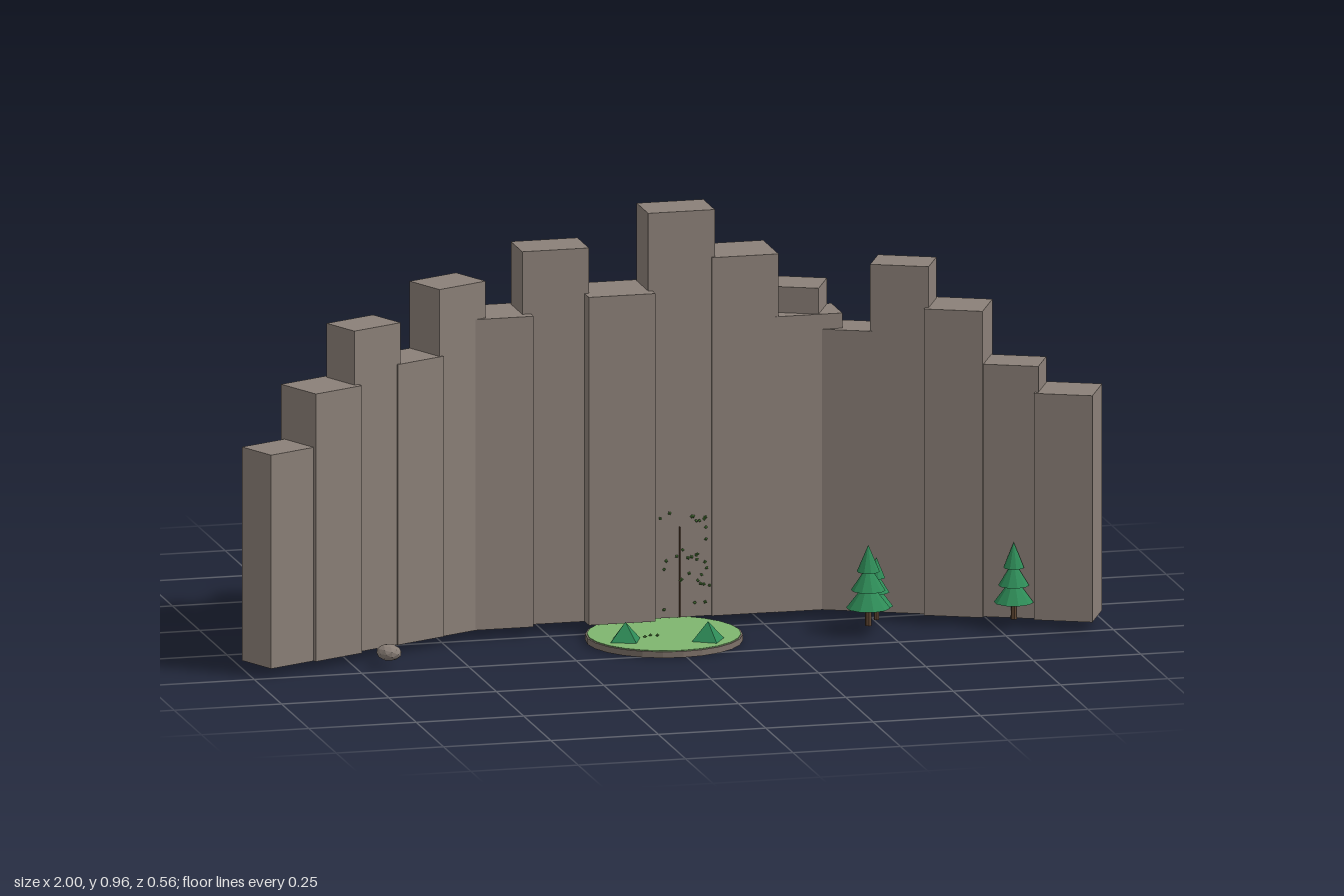
import * as THREE from 'three';

const mat = (name, color, extra = {}) => {
  const m = new THREE.MeshStandardMaterial({ color, flatShading: true, ...extra });
  m.name = name;
  return m;
};

export function createModel() {
  const model = new THREE.Group();
  model.name = 'cliffScene';
  const stone = mat('stone', 0x8b8078);
  const rim = mat('earthRim', 0x7d7169);
  const grass = mat('grass', 0x7fb56f);
  const foliage = mat('foliage', 0x2e8b57);
  const bark = mat('bark', 0x5f4632);
  const leafMat = mat('leaf', 0x4c7a38, { side: THREE.DoubleSide });
  const GROUND = 0.02;

  const add = (parent, name, geometry, material, x, y, z) => {
    const mesh = new THREE.Mesh(geometry, material);
    mesh.name = name;
    mesh.position.set(x, y, z);
    parent.add(mesh);
    return mesh;
  };

  // Stone columns
  const column = (name, x, z, w, d, top, turn = 0) => {
    const h = top - GROUND;
    add(model, name, new THREE.BoxGeometry(w, h, d), stone, x, GROUND + h / 2, z).rotation.y = turn;
  };

  // Centre row: x, z, depth, top
  [
    [-0.52, -0.085, 0.08, 0.6], [-0.36, -0.085, 0.14, 0.74], [-0.225, -0.092, 0.105, 0.885],
    [-0.08, -0.072, 0.145, 0.78], [0.065, -0.08, 0.105, 0.96], [0.212, -0.092, 0.14, 0.85],
    [0.36, -0.07, 0.1, 0.705], [0.5, -0.092, 0.125, 0.635],
  ].forEach(([x, z, d, top]) => column('centreColumn', x, z, 0.155, d, top));

  // Swept wings: [top, depth] from the middle outward
  const wing = (name, side, x0, step, z0, columns) => columns.forEach(([top, d], i) =>
    column(name, side * (x0 + step * i), z0 + 0.053 * i, 0.134, d, top, -side * 0.43));
  wing('rightWingColumn', -1, 0.14, 0.1113, -0.207, [
    [0.545, 0.11], [0.59, 0.11], [0.7, 0.11], [0.825, 0.107],
    [0.67, 0.11], [0.765, 0.1], [0.64, 0.125], [0.515, 0.105],
  ]);
  wing('leftWingColumn', 1, 0.115, 0.1143, -0.203, [
    [0.515, 0.1], [0.635, 0.11], [0.765, 0.105], [0.67, 0.1],
    [0.825, 0.098], [0.73, 0.124], [0.605, 0.1], [0.545, 0.122],
  ]);

  // Round clearing
  add(model, 'clearingBase', new THREE.CylinderGeometry(0.178, 0.178, 0.014, 24), rim, -0.008, 0.007, 0.1);
  add(model, 'clearingGrass', new THREE.CylinderGeometry(0.174, 0.174, 0.002, 24), grass, -0.008, 0.015, 0.1);

  // Four-sided bushes on the grass
  [[-0.11, 0.147, 0.4], [0.072, 0.187, 0.25]].forEach(([x, z, turn]) => {
    add(model, 'bush', new THREE.ConeGeometry(0.042, 0.043, 4), foliage, x, 0.037, z).rotation.y = turn;
  });

  // Fir trees: trunk and three stacked cones
  const tree = (x, z, height, radius) => {
    const fir = new THREE.Group();
    fir.name = 'firTree';
    fir.position.set(x, GROUND, z);
    add(fir, 'trunk', new THREE.CylinderGeometry(radius * 0.13, radius * 0.16, height * 0.3, 6), bark, 0, height * 0.15, 0);
    [[0.22, 0.34, 1], [0.44, 0.32, 0.78], [0.67, 0.33, 0.52]].forEach(([base, h, r]) =>
      add(fir, 'foliageTier', new THREE.ConeGeometry(radius * r, height * h, 10), foliage, 0, height * (base + h / 2), 0));
    model.add(fir);
  };
  tree(0.453, 0.157, 0.187, 0.05);
  tree(0.485, 0.105, 0.145, 0.038);
  tree(0.787, 0.175, 0.178, 0.045);
  tree(0.337, -0.22, 0.14, 0.038);

  // Loose rocks
  [[-0.675, 0.205, 0.027, 0.034], [-0.18, -0.255, 0.018, 0.03]].forEach(([x, z, r, y]) => {
    const rock = add(model, 'rock', new THREE.IcosahedronGeometry(r, 1), stone, x, y, z);
    rock.scale.set(1, 0.7, 1.15);
    rock.rotation.y = 0.5;
  });

  // Climbing vine with small leaves on the cliff face
  add(model, 'vineStem', new THREE.CylinderGeometry(0.002, 0.002, 0.21, 5), bark, 0.06, 0.125, -0.025);
  let seed = 7;
  const random = () => (seed = (seed * 16807) % 2147483647) / 2147483647;
  const leaf = new THREE.OctahedronGeometry(0.0045);
  for (let i = 0; i < 32; i++) {
    add(model, 'vineLeaf', leaf, leafMat, 0.015 + random() * 0.115, 0.04 + random() * 0.23, -0.025)
      .rotation.set(random() * 3, random() * 3, 0);
  }

  // Fallen leaves on the grass
  [[-0.045, 0.12], [-0.03, 0.125], [-0.06, 0.13]].forEach(([x, z]) =>
    add(model, 'fallenLeaf', leaf, leafMat, x, 0.018, z));

  return model;
}
